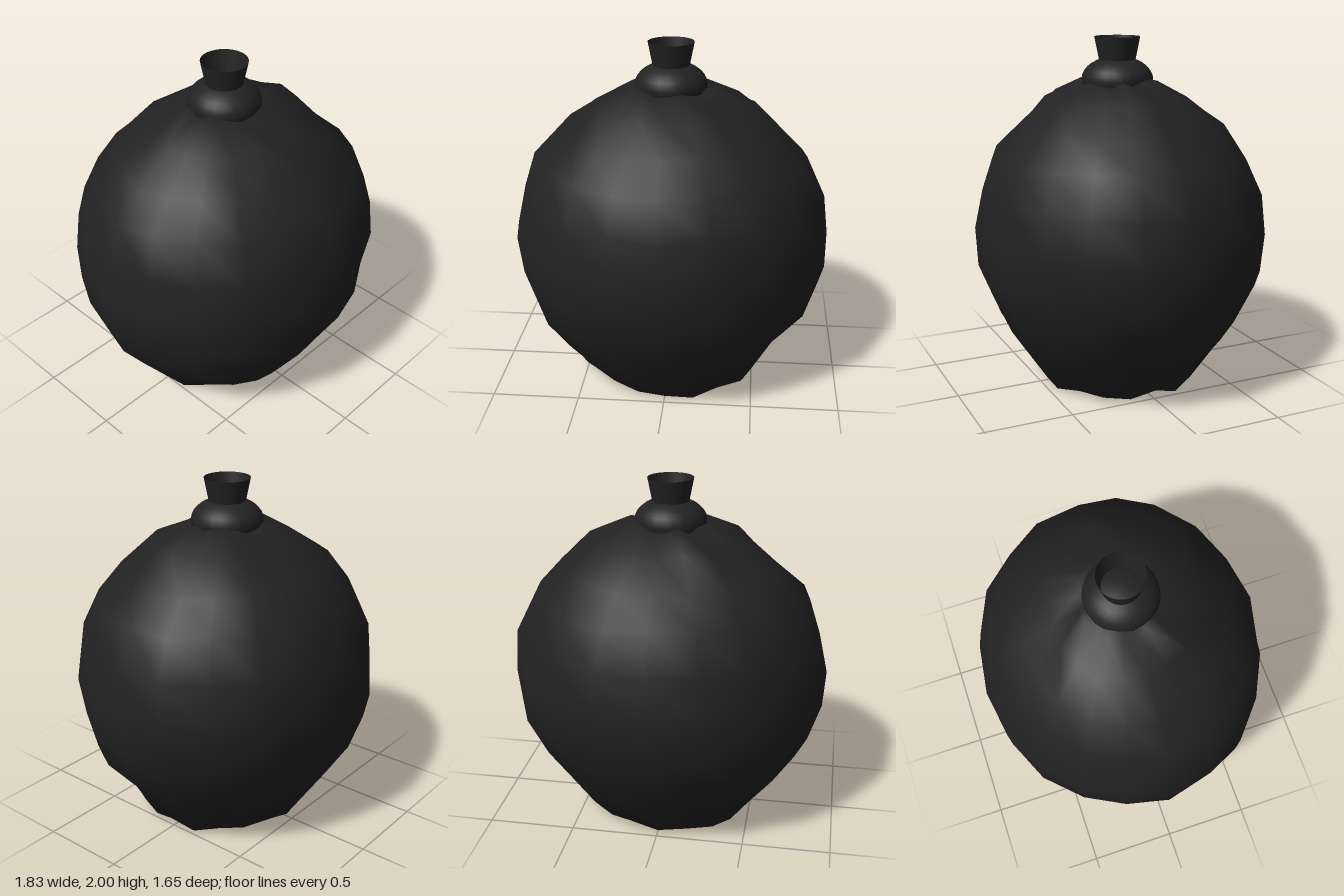
import * as THREE from 'three';
import { mergeVertices } from 'three/addons/utils/BufferGeometryUtils.js';

const SEGMENTS = 20;
// Sack profile from the top down: [half width, height, radial crumple, vertical crumple]
const PROFILE = [
  [0, 1.75, 0, 0], [0.24, 1.745, 0.02, 0.025], [0.45, 1.655, 0.025, 0.03],
  [0.635, 1.51, 0.025, 0.025], [0.79, 1.345, 0.02, 0.02], [0.88, 1.13, 0.02, 0.01],
  [0.915, 0.9, 0.015, 0.01], [0.9, 0.67, 0.02, 0.01], [0.81, 0.45, 0.02, 0.01],
  [0.675, 0.25, 0.025, 0.015], [0.52, 0.035, 0.025, 0.025], [0.26, 0.04, 0.03, 0.045],
  [0, 0.05, 0, 0],
];

// Seeded value between -1 and 1
function crumple(ring, segment, seed) {
  const s = Math.sin(ring * 127.1 + segment * 311.7 + seed * 74.7) * 43758.5453;
  return (s - Math.floor(s)) * 2 - 1;
}

// Weld the seam so the shading is smooth all round
function smooth(geometry) {
  geometry.deleteAttribute('normal');
  geometry.deleteAttribute('uv');
  const welded = mergeVertices(geometry, 1e-4);
  welded.computeVertexNormals();
  return welded;
}

function sackGeometry() {
  const geometry = new THREE.SphereGeometry(1, SEGMENTS, PROFILE.length - 1);
  const p = geometry.attributes.position;
  for (let i = 0; i < p.count; i++) {
    const ring = Math.floor(i / (SEGMENTS + 1));
    const segment = (i % (SEGMENTS + 1)) % SEGMENTS;
    const [width, height, radial, vertical] = PROFILE[ring];
    const r = width + radial * crumple(ring, segment, 1);
    const a = (segment / SEGMENTS) * Math.PI * 2;
    const y = Math.max(0, height + vertical * crumple(ring, segment, 2));
    p.setXYZ(i, -Math.cos(a) * r, y, Math.sin(a) * r * 0.9);
  }
  return smooth(geometry);
}

export function createModel() {
  const model = new THREE.Group();
  model.name = 'tiedSack';
  const plastic = new THREE.MeshStandardMaterial({ color: 0x222222, side: THREE.DoubleSide });
  plastic.name = 'black plastic';

  function add(name, geometry, y = 0) {
    const mesh = new THREE.Mesh(geometry, plastic);
    mesh.name = name;
    mesh.position.y = y;
    model.add(mesh);
    return mesh;
  }

  // Crumpled sack resting on a flattened base
  add('sackBody', sackGeometry());

  // Squashed knot gathered at the top
  add('knot', new THREE.SphereGeometry(0.205, 24, 16), 1.76).scale.y = 0.63;

  // Loose end flaring open above the knot
  add('flaredEnd', new THREE.CylinderGeometry(0.13, 0.1, 0.15, 32, 1, true), 1.925);

  return model;
}
